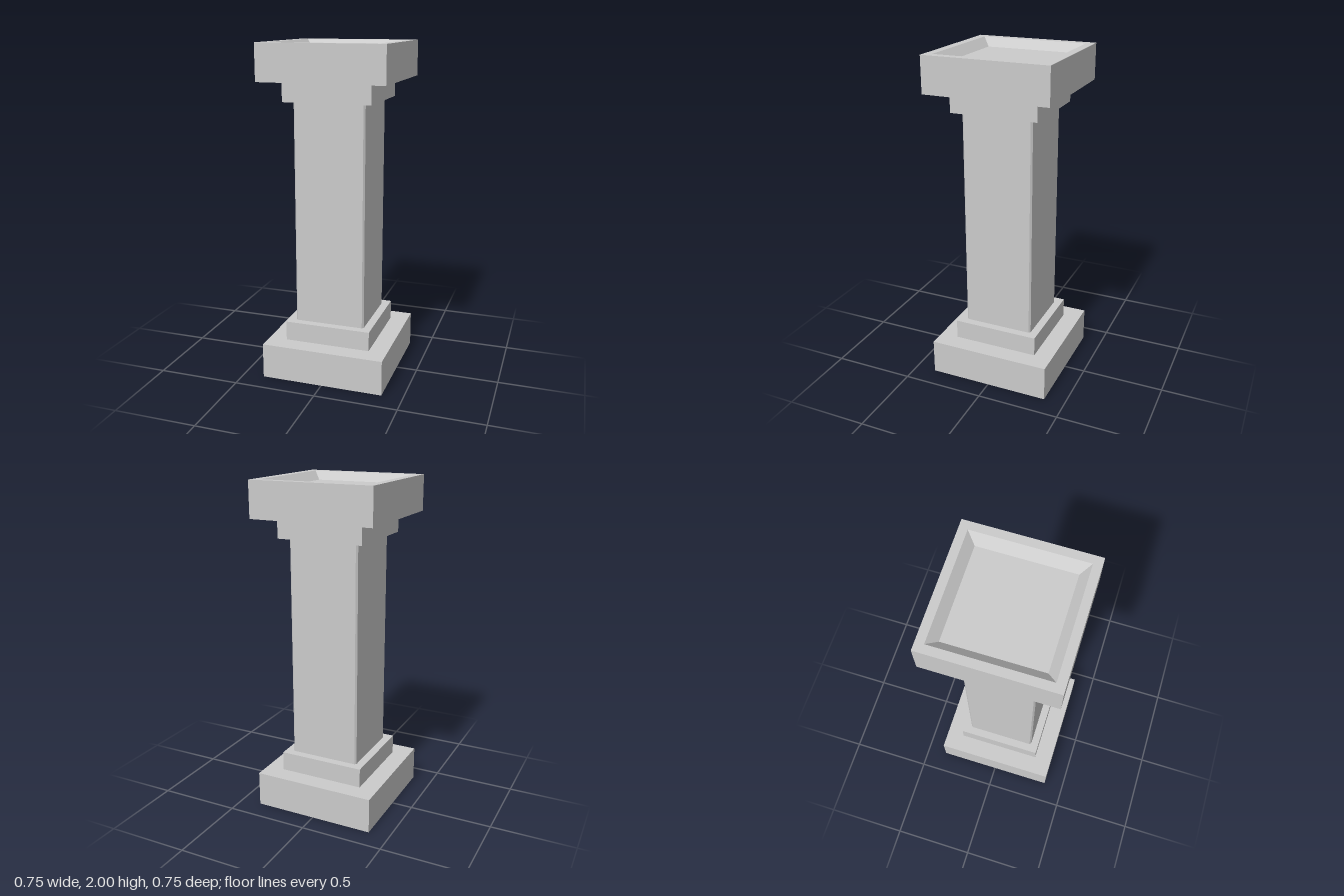
import * as THREE from 'three';

const material = new THREE.MeshStandardMaterial({ color: 0xcccccc, flatShading: true });

// Square block turned from a profile of [half width, height] pairs, bottom to top.
function squareTurned(name, profile) {
  const points = profile.map(([half, y]) => new THREE.Vector2(half * Math.SQRT2, y));
  const geometry = new THREE.LatheGeometry(points, 4, Math.PI / 4).toNonIndexed();
  geometry.computeVertexNormals();
  const mesh = new THREE.Mesh(geometry, material);
  mesh.name = name;
  return mesh;
}

const block = (name, half, y0, y1) =>
  squareTurned(name, [[0, y0], [half, y0], [half, y1], [0, y1]]);

// Square shaft with narrow chamfers on its four upright edges.
function makeShaft(half, chamfer, y0, y1) {
  const inner = half - chamfer;
  const outline = [];
  for (const [sx, sy] of [[1, 1], [-1, 1], [-1, -1], [1, -1]]) {
    const corner = [
      new THREE.Vector2(sx * half, sy * inner),
      new THREE.Vector2(sx * inner, sy * half),
    ];
    outline.push(...(sx * sy > 0 ? corner : corner.reverse()));
  }
  const geometry = new THREE.ExtrudeGeometry(new THREE.Shape(outline), {
    depth: y1 - y0,
    bevelEnabled: false,
  });
  geometry.rotateX(-Math.PI / 2).translate(0, y0, 0);
  const mesh = new THREE.Mesh(geometry, material);
  mesh.name = 'shaft';
  return mesh;
}

export function createModel() {
  const group = new THREE.Group();
  group.name = 'pedestal';

  group.add(
    block('basePlinth', 0.373, 0, 0.214),
    block('baseStep', 0.262, 0.214, 0.332),
    makeShaft(0.214, 0.01, 0.332, 1.668),
    block('capitalStep', 0.262, 1.668, 1.786),
    // Top slab with a shallow, sloping-sided recess
    squareTurned('capitalSlab', [
      [0, 1.786], [0.373, 1.786], [0.373, 2], [0.324, 2], [0.273, 1.95], [0, 1.95],
    ]),
  );
  return group;
}
